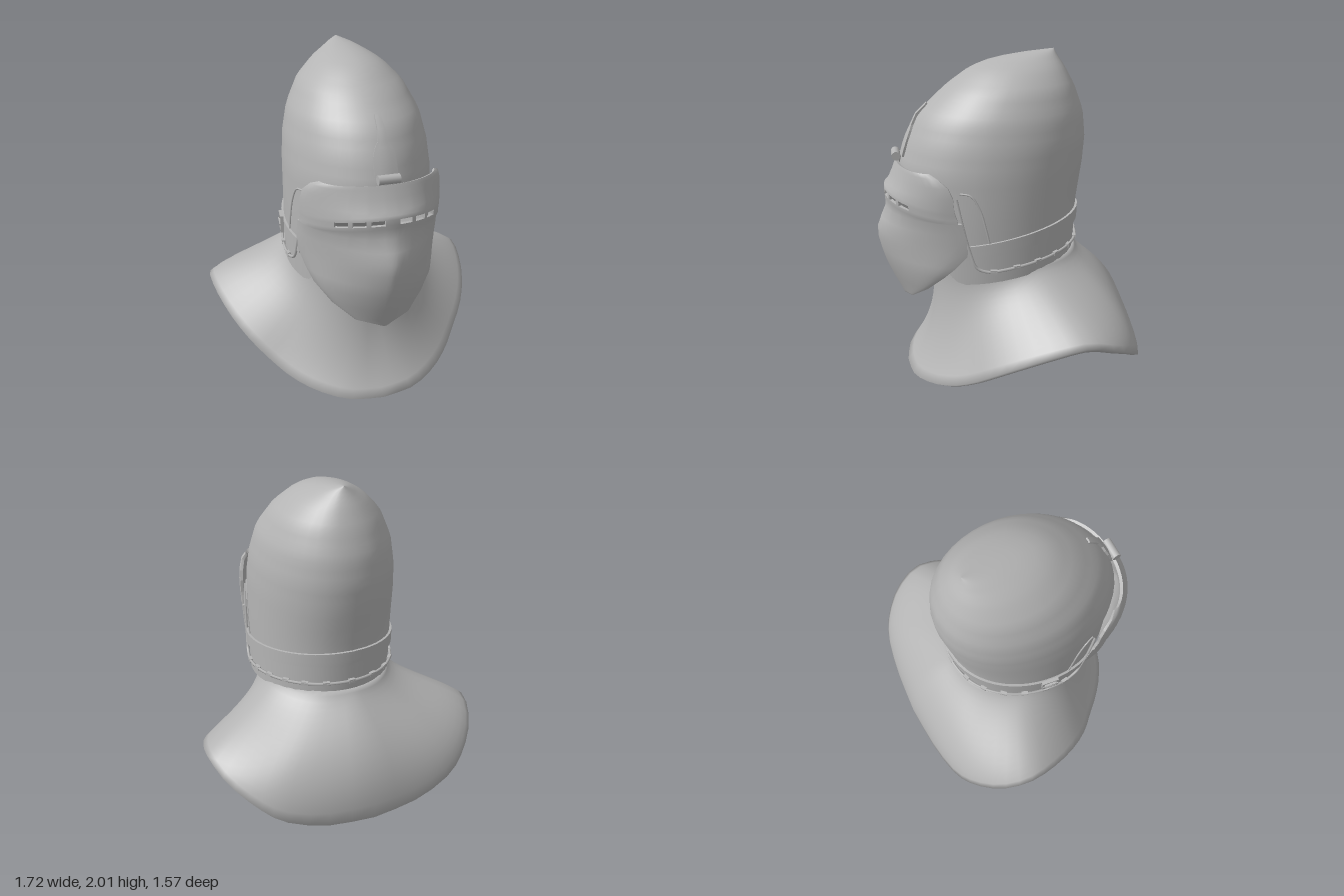
import * as THREE from 'three';

const steel = new THREE.MeshStandardMaterial({ color: 0xb4b4b4 });
steel.name = 'steel';
const lerp = THREE.MathUtils.lerp;
const RAD = Math.PI / 180;

// Piecewise-linear lookup in rows of [key, a, b, c...], keys falling
function sample(rows, key) {
  let i = 0;
  while (i < rows.length - 2 && key < rows[i + 1][0]) i++;
  const t = THREE.MathUtils.clamp((key - rows[i][0]) / (rows[i + 1][0] - rows[i][0]), 0, 1);
  return rows[i].map((v, k) => lerp(v, rows[i + 1][k], t));
}

// Plate from a grid of points (rows downwards, columns to the right seen from outside),
// given thickness inwards and closed along every open edge; soft shades the rim as rounded
function plate(grid, thickness, { wrap = false, soft = false, skip = () => false } = {}) {
  const n = grid[0].length, count = grid.length * n, idx = [];
  const pos = grid.flat().flatMap(p => [p.x, p.y, p.z]);
  for (let r = 0; r < grid.length - 1; r++) {
    for (let c = 0; c < (wrap ? n : n - 1); c++) {
      if (skip(r, c)) continue;
      const a = r * n + c, d = r * n + (c + 1) % n, b = a + n, e = d + n;
      idx.push(a, b, d, b, e, d);
    }
  }
  const geo = new THREE.BufferGeometry();
  geo.setAttribute('position', new THREE.Float32BufferAttribute(pos, 3));
  geo.setIndex(idx);
  geo.computeVertexNormals();
  const nor = geo.attributes.normal.array;
  const all = [...pos, ...pos.map((v, i) => v - nor[i] * thickness)];
  const faces = [...idx], edges = new Set();
  for (let i = 0; i < idx.length; i += 3) {
    faces.push(idx[i] + count, idx[i + 2] + count, idx[i + 1] + count);
    for (let k = 0; k < 3; k++) edges.add(idx[i + k] + ',' + idx[i + (k + 1) % 3]);
  }
  for (const edge of edges) {
    const [p, q] = edge.split(',').map(Number);
    if (edges.has(q + ',' + p)) continue;
    let quad = [q, p, p + count, q + count];
    if (!soft) {
      quad = quad.map(v => all.push(all[v * 3], all[v * 3 + 1], all[v * 3 + 2]) / 3 - 1);
    }
    faces.push(quad[0], quad[1], quad[2], quad[0], quad[2], quad[3]);
  }
  const out = new THREE.BufferGeometry();
  out.setAttribute('position', new THREE.Float32BufferAttribute(all, 3));
  out.setIndex(faces);
  out.computeVertexNormals();
  return out;
}

// Skull sections: y, front z, back z, half width
const SKULL = [
  [2, -0.28, -0.28, 0], [1.98, -0.1, -0.29, 0.06], [1.95, 0.09, -0.31, 0.12],
  [1.9, 0.22, -0.345, 0.2], [1.8, 0.36, -0.4, 0.3], [1.65, 0.52, -0.455, 0.375],
  [1.5, 0.595, -0.47, 0.408], [1.35, 0.64, -0.46, 0.422], [1.1, 0.63, -0.425, 0.427],
  [0.7, 0.6, -0.41, 0.427],
];
// Point on the skull at an angle from the front (degrees), raised by off; slight medial keel
function onSkull(deg, y, off = 0) {
  const [, f, b, w] = sample(SKULL, y);
  const s = Math.sin(deg * RAD), c = Math.cos(deg * RAD) * (1 - 0.06 * Math.abs(s));
  const sx = Math.sign(s) * Math.abs(s) ** (c < 0 ? 0.84 : 0.95);
  return new THREE.Vector3((w + off) * sx, y, (f + b) / 2 + ((f - b) / 2 + off) * c);
}

// Visor sections: y, front z, edge half width, edge z, curve powers
const VISOR = [
  [1.38, 0.66, 0.33, 0.49, 2, 0.6], [1.36, 0.668, 0.37, 0.45, 2, 0.6], [1.31, 0.687, 0.4, 0.395, 2, 0.6],
  [1.25, 0.715, 0.41, 0.37, 2, 0.6], [1.235, 0.735, 0.41, 0.365, 2, 0.6], [1.213, 0.738, 0.41, 0.36, 2, 0.6],
  [1.183, 0.738, 0.41, 0.35, 2, 0.6], [1.16, 0.735, 0.412, 0.345, 2, 0.6], [1.1, 0.733, 0.414, 0.325, 1.8, 0.6],
  [1.03, 0.765, 0.415, 0.305, 1.6, 0.61], [0.97, 0.788, 0.415, 0.29, 1.48, 0.62], [0.9, 0.787, 0.408, 0.295, 1.45, 0.62],
  [0.82, 0.77, 0.385, 0.36, 1.42, 0.63], [0.75, 0.75, 0.355, 0.43, 1.4, 0.65], [0.65, 0.711, 0.275, 0.52, 1.35, 0.75],
  [0.56, 0.668, 0.16, 0.605, 1.3, 0.9], [0.515, 0.65, 0.01, 0.648, 1.3, 1],
];
const SLIT_ROW = 5;
const SIDE = [0.05, 0.1, 0.19, 0.28, 0.34, 0.42, 0.5, 0.55, 0.62, 0.7, 0.8, 0.88, 0.94, 0.98, 1];
const COLS = [...SIDE.map(s => -s).reverse(), 0, ...SIDE];
const SLITS = [[0.1, 0.28], [0.34, 0.5], [0.55, 0.7]];

// Collar hem from front to back, left half
const HEM = [
  [0, 0.018, 0.648], [0.2, 0.03, 0.62], [0.37, 0.065, 0.53], [0.5, 0.115, 0.42], [0.6, 0.185, 0.31],
  [0.7, 0.28, 0.2], [0.78, 0.37, 0.06], [0.84, 0.455, -0.13], [0.858, 0.5, -0.32], [0.8, 0.43, -0.5],
  [0.68, 0.33, -0.64], [0.55, 0.24, -0.715], [0.3, 0.16, -0.765], [0, 0.135, -0.785],
];
// Collar flare: key (1 front, 0 back), outward and downward fractions of the two curve handles
const FLARE = [
  [1, -0.36, -0.02, 0.38, 0.73], [0.385, 0.05, 0.79, 0.35, 0.68], [0, 0.14, 1.04, 0.145, 0.32],
];

export function createModel() {
  const model = new THREE.Group();
  const add = (name, geo, parent = model) => {
    const mesh = new THREE.Mesh(geo, steel);
    mesh.name = name;
    parent.add(mesh);
    return mesh;
  };
  const tube = (name, points, radius) =>
    add(name, new THREE.TubeGeometry(new THREE.CatmullRomCurve3(points), points.length * 5, radius, 6));

  // Skull: full rings above the brow, then cheeks and nape with the face left open
  const half = [0, 8, 16, 24, 32, 40, 46, 50, 54, 58, 64, 72, 80, 90, 100, 110, 120, 130, 140, 150, 160, 170];
  const angles = [-180, ...half.slice(1).map(a => -a).reverse(), ...half];
  const bottom = deg => {
    const a = Math.max(50, Math.abs(deg));
    return 0.72 + (0.25 - onSkull(a, 0.75).z) * 0.12 + Math.max(0, (64 - a) / 14) ** 2 * 0.09;
  };
  const skull = [];
  const UPPER = 20, LOWER = 6;
  for (let i = 0; i <= UPPER; i++) skull.push(angles.map(a => onSkull(a, 2 - 0.7 * (i / UPPER) ** 1.5)));
  for (let i = 1; i <= LOWER; i++) skull.push(angles.map(a => onSkull(a, lerp(1.3, bottom(a), i / LOWER))));
  const isFace = (r, c) => {
    const next = angles[(c + 1) % angles.length];
    return r >= UPPER && Math.abs(angles[c] + next) / 2 < 50 && Math.abs(next) <= 50;
  };
  add('skull', plate(skull, 0.02, { wrap: true, skip: isFace }));

  // Pointed visor with sight slits
  const visor = VISOR.map(([y, zf, xe, ze, a, p], r) => COLS.map(s => {
    const x = xe * s, drop = r >= 4 && r <= 7 ? 0.35 * x * x : 0;
    return new THREE.Vector3(x, y - drop, ze + (zf - ze) * (1 - Math.abs(s) ** a) ** p);
  }));
  const isSlit = (r, c) => {
    const m = Math.abs(COLS[c] + COLS[c + 1]) / 2;
    return r === SLIT_ROW && SLITS.some(([lo, hi]) => m > lo && m < hi);
  };
  add('visor', plate(visor, 0.018, { skip: isSlit }));

  // Flared collar: each column is a curve from the neck to the hem
  const hemCurve = new THREE.CatmullRomCurve3(HEM.map(p => new THREE.Vector3(...p)));
  const column = (t, side) => {
    const a = t * Math.PI, hem = hemCurve.getPoint(t);
    const top = new THREE.Vector3(0.395 * Math.sin(a), lerp(0.79, 0.82, t), 0.03 + 0.45 * Math.cos(a));
    const [, out1, out2, down1, down2] = sample(FLARE, 1 - t);
    const handle = (o, d) => new THREE.Vector3(lerp(top.x, hem.x, o), lerp(top.y, hem.y, d), lerp(top.z, hem.z, o));
    const curve = new THREE.CubicBezierCurve3(top, handle(out1, down1), handle(out2, down2), hem);
    return curve.getPoints(14).map(p => p.setX(p.x * side));
  };
  const columns = [], N = 28;
  for (let i = N; i > 0; i--) columns.push(column(i / N, -1));
  for (let i = 0; i < N; i++) columns.push(column(i / N, 1));
  add('collar', plate(columns[0].map((_, r) => columns.map(c => c[r])), 0.042, { wrap: true, soft: true }));

  // Strap around the back of the head
  const strap = [0, -0.025, -0.05, -0.08].map(dy => {
    const row = [];
    for (let a = 66; a <= 294; a += 6) {
      row.push(onSkull(a, 0.96 + (0.28 - onSkull(a, 1).z) * 0.17 + dy, 0.014));
    }
    return row;
  });
  add('strap', plate(strap, 0.014));

  // Cord along the lower rim and up both cheeks, held by small staples
  const rimY = a => 0.8 + (0.2 - onSkull(a, 0.85).z) * 0.127;
  const cheek = [[61, 1.24], [65, 1.08], [69, 0.92], [73, 0.83]];
  const cord = cheek.map(([a, y]) => onSkull(a, y, 0.012));
  for (let a = 82; a <= 278; a += 7) cord.push(onSkull(a, rimY(a), 0.012));
  cord.push(...cheek.slice().reverse().map(([a, y]) => onSkull(-a, y, 0.012)));
  tube('cord', cord, 0.009);
  const staples = new THREE.Group();
  staples.name = 'staples';
  model.add(staples);
  for (let a = 84; a <= 276; a += 16) {
    const s = add('staple', new THREE.BoxGeometry(0.04, 0.022, 0.02), staples);
    s.position.copy(onSkull(a, rimY(a), 0.01));
    s.rotation.y = a * RAD;
  }

  // Raised cheek borders
  for (const side of [-1, 1]) {
    const border = [[63, 1.27], [70, 1.26], [76, 1.18], [80, 1.06], [82, 0.97]];
    tube('cheekBorder', border.map(([a, y]) => onSkull(a * side, y, 0.002)), 0.006);
  }

  // Strap buckle on the right side
  const buckle = new THREE.Group();
  buckle.name = 'buckle';
  buckle.position.copy(onSkull(-98, 0.965, 0.02));
  buckle.rotation.y = -98 * RAD;
  model.add(buckle);
  for (const s of [-1, 1]) {
    add('buckleBar', new THREE.BoxGeometry(0.1, 0.014, 0.02), buckle).position.y = s * 0.045;
    add('bucklePost', new THREE.BoxGeometry(0.014, 0.1, 0.02), buckle).position.x = s * 0.045;
  }
  add('bucklePin', new THREE.BoxGeometry(0.1, 0.01, 0.014), buckle).position.z = 0.008;

  // Brow hinge: tapering plate on the forehead and a barrel
  const brow = [[1.71, 0.014], [1.65, 0.018], [1.59, 0.024], [1.56, 0.042], [1.52, 0.055], [1.46, 0.058], [1.41, 0.058]];
  add('browPlate', plate(brow.map(([y, w]) => [-1, -0.5, 0, 0.5, 1].map(s =>
    onSkull(Math.asin(s * w / sample(SKULL, y)[3]) / RAD, y, 0.014))), 0.016));
  const barrel = add('hingeBarrel', new THREE.CylinderGeometry(0.026, 0.026, 0.122, 14));
  barrel.rotation.z = Math.PI / 2;
  barrel.position.set(0, 1.412, 0.658);

  return model;
}
